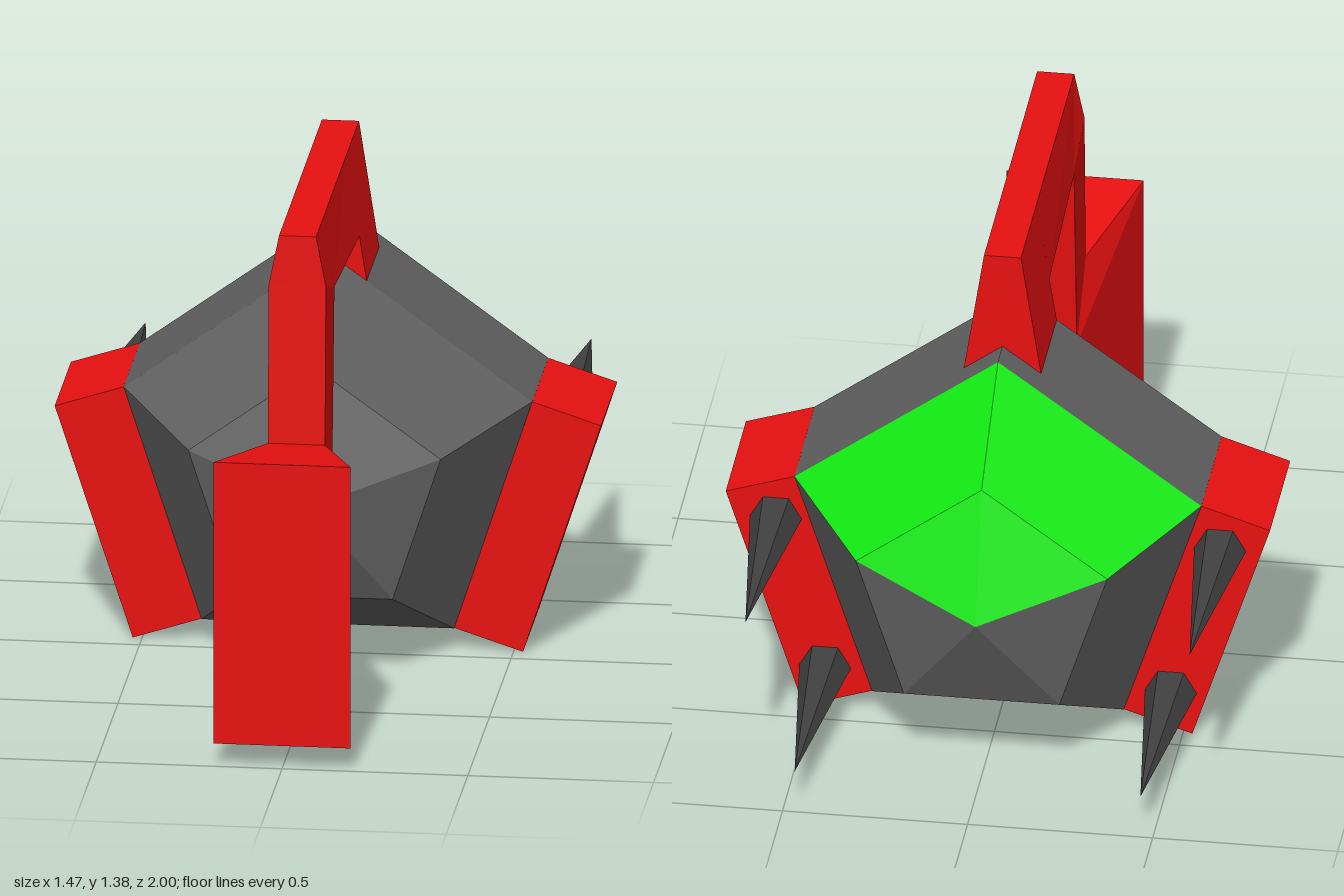
import * as THREE from 'three';

const paint = (color) => new THREE.MeshStandardMaterial({ color, flatShading: true });

// Flat-faced skin through rings of [x, y, z] points, listed front to back and
// counter-clockwise as seen from the front. keep(i, j) selects the panels.
function loft(rings, keep = () => true, caps = false) {
  const pos = [];
  const same = (p, q) => p.every((v, k) => Math.abs(v - q[k]) < 1e-6);
  const tri = (a, b, c) => {
    if (!same(a, b) && !same(b, c) && !same(c, a)) pos.push(...a, ...b, ...c);
  };
  for (let i = 0; i < rings.length - 1; i++) {
    const r = rings[i], s = rings[i + 1], n = r.length;
    for (let j = 0; j < n; j++) {
      if (!keep(i, j)) continue;
      const k = (j + 1) % n;
      tri(r[j], s[j], s[k]);
      tri(r[j], s[k], r[k]);
    }
  }
  if (caps) {
    const f = rings[0], b = rings[rings.length - 1];
    for (let j = 1; j < f.length - 1; j++) {
      tri(f[0], f[j], f[j + 1]);
      tri(b[0], b[j + 1], b[j]);
    }
  }
  const g = new THREE.BufferGeometry();
  g.setAttribute('position', new THREE.Float32BufferAttribute(pos, 3));
  g.computeVertexNormals();
  return g;
}

export function createModel() {
  const model = new THREE.Group();
  const red = paint(0xe81010), green = paint(0x10e810);
  const grey = paint(0x606060), dark = paint(0x404040);
  const add = (name, geometry, material, parent = model) => {
    const mesh = new THREE.Mesh(geometry, material);
    mesh.name = name;
    parent.add(mesh);
    return mesh;
  };

  // Five-sided pod: [z, radius] rings closing to a point at both ends
  const pod = [[0.365, 0], [0.25, 0.357], [-0.06, 0.578], [-0.435, 0.578], [-0.74, 0.357], [-0.855, 0]]
    .map(([z, r]) => Array.from({ length: 5 }, (_, j) => {
      const a = Math.PI / 2 + j * Math.PI * 2 / 5;
      return [r * Math.cos(a), 0.532 + r * Math.sin(a), z];
    }));
  const isWindow = (i, j) => i >= 3 && (j === 0 || j === 4);
  add('body', loft(pod, (i, j) => !isWindow(i, j)), grey);
  add('rearWindow', loft(pod, isWindow), green);

  // Arched arm: sections of outer and inner edge, each [half width, y, z]
  const arm = [
    [[0.185, 0.862, 1], [0.185, 0.07, 1]],
    [[0.077, 0.81, 0.667], [0.077, 0.63, 0.505]],
    [[0.077, 1.25, 0.646], [0.077, 1.185, 0.45]],
    [[0.05, 1.387, 0.64], [0.077, 1.185, 0.45]],
    [[0.05, 1.387, -0.06], [0.085, 1.16, -0.06]],
    [[0.05, 1.387, -0.06], [0.105, 1.03, -0.06]],
    [[0.05, 1.387, -0.35], [0.105, 1.03, -0.35]],
  ].map(([[w, y, z], [v, b, c]]) => [[w, y, z], [-w, y, z], [-v, b, c], [v, b, c]]);
  add('frontArm', loft(arm, undefined, true), red);

  // Side blocks, each with two spikes pointing back
  const spike = new THREE.ConeGeometry(0.07, 0.565, 6, 1);
  spike.rotateY(Math.PI / 6).rotateX(-Math.PI / 2);
  for (const side of [1, -1]) {
    const name = side > 0 ? 'left' : 'right';
    const pack = new THREE.Group();
    pack.name = name + 'Side';
    model.add(pack);
    const block = add(name + 'Block', new THREE.BoxGeometry(0.195, 0.678, 0.375), red, pack);
    block.position.set(side * 0.5375, 0.358, -0.2475);
    block.rotation.z = -side * 0.315;
    for (const [label, x, y] of [['UpperSpike', 0.6, 0.58], ['LowerSpike', 0.467, 0.13]]) {
      add(name + label, spike, dark, pack).position.set(side * x, y, -0.7175);
    }
  }
  return model;
}
